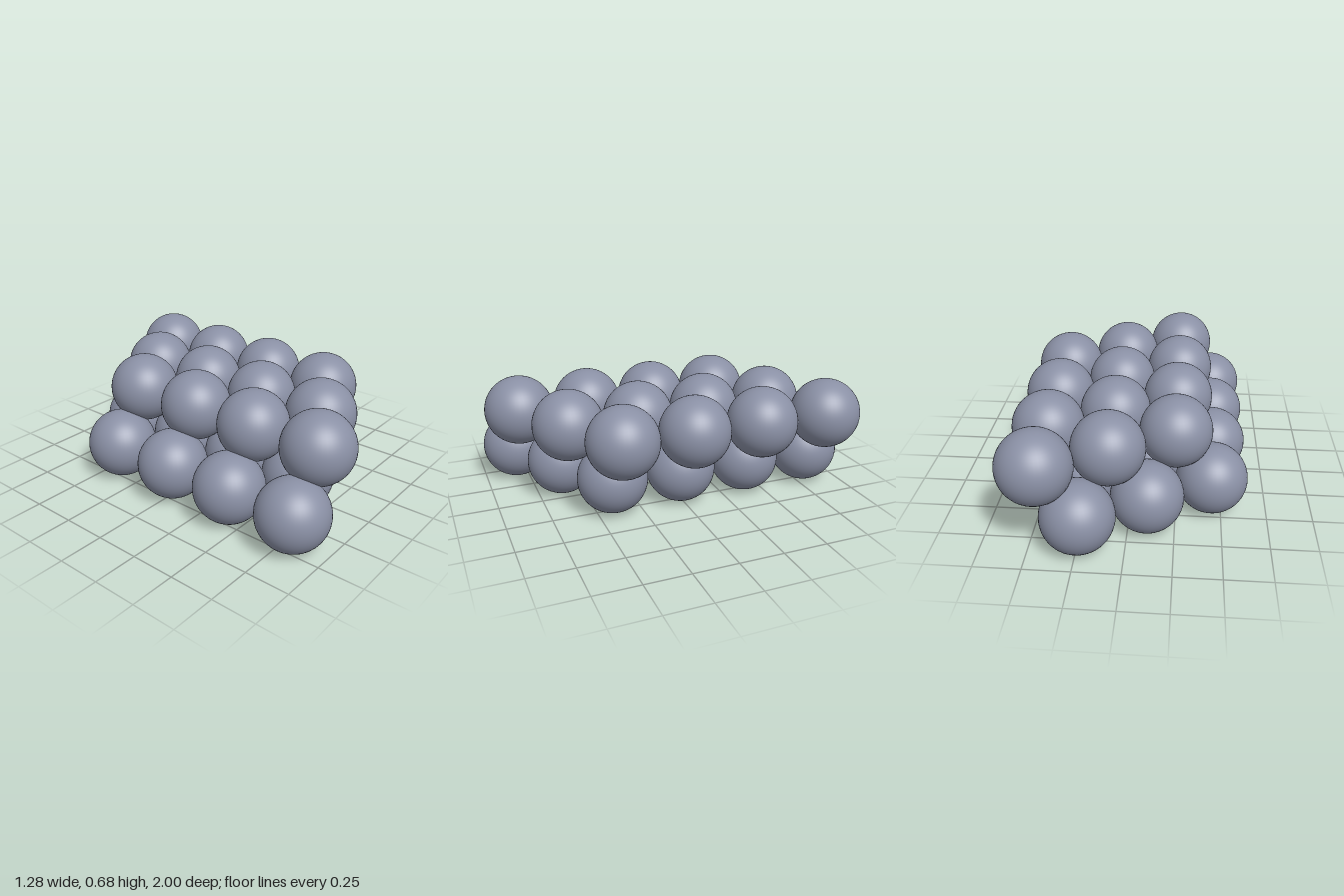
import * as THREE from 'three';

export function createModel() {
  const group = new THREE.Group();
  group.name = 'packedSpheres';
  const blueGrey = new THREE.MeshStandardMaterial({ color: 0x8a90a5 });
  blueGrey.name = 'blueGrey';

  const radius = 0.196;
  const stepX = 0.342;  // between neighbouring rows
  const stepZ = 0.402;  // between spheres in one row
  const sphere = new THREE.SphereGeometry(radius, 48, 32);

  // two staggered layers, the upper one shifted toward +x
  const layers = [
    { name: 'lowerLayer', x: -0.101, y: radius },
    { name: 'upperLayer', x: 0.101, y: 0.484 },
  ];
  for (const { name, x, y } of layers) {
    const layer = new THREE.Group();
    layer.name = name;
    layer.position.set(x, y, 0);
    // three rows of four, each slid half a step toward the back
    for (let row = -1; row <= 1; row++) {
      for (let i = 0; i < 4; i++) {
        const ball = new THREE.Mesh(sphere, blueGrey);
        ball.name = 'sphere';
        ball.position.set(row * stepX, 0, (i - 1.5 - row / 2) * stepZ);
        layer.add(ball);
      }
    }
    group.add(layer);
  }
  return group;
}
